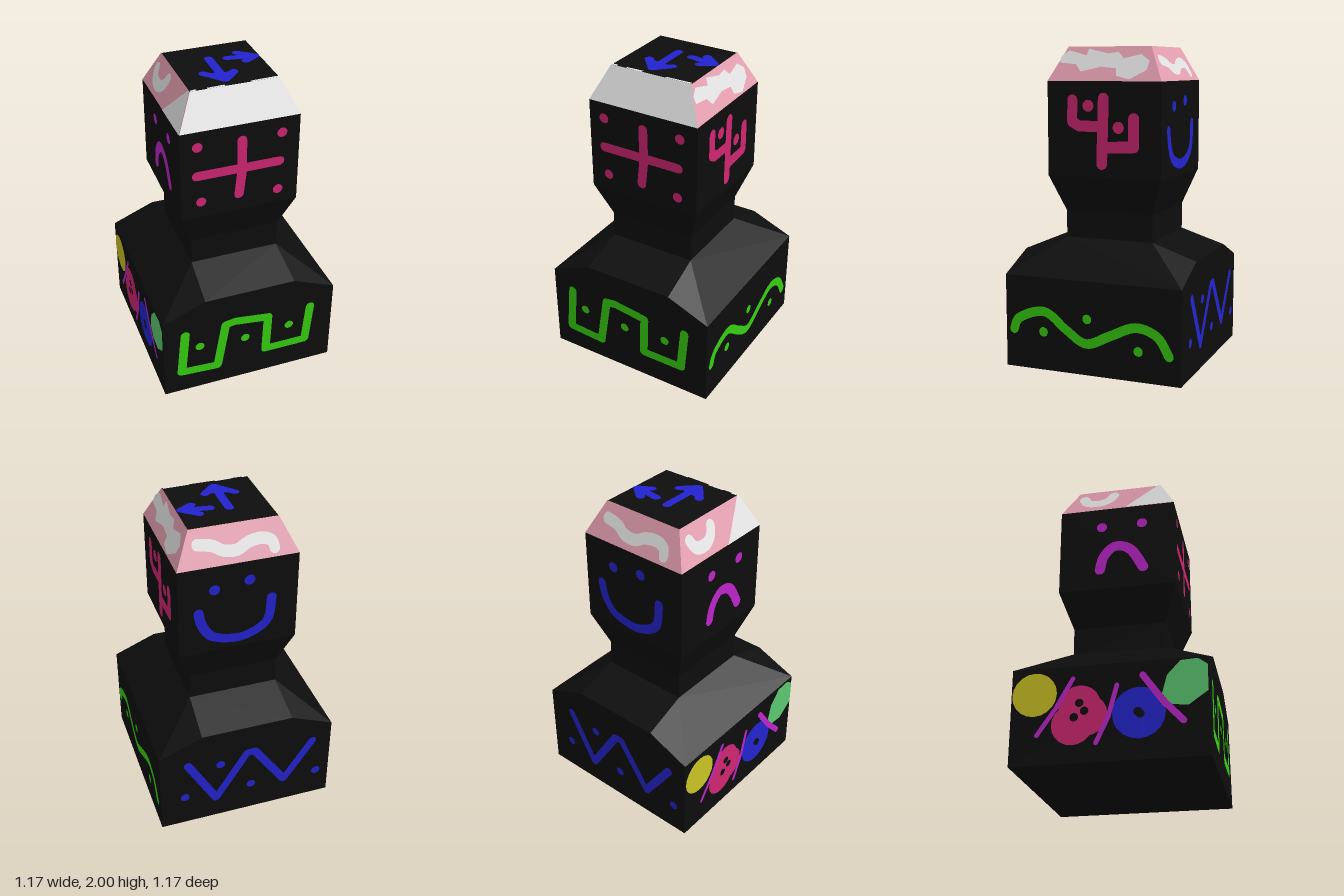
import * as THREE from 'three';
import { mergeGeometries } from 'three/addons/utils/BufferGeometryUtils.js';
import { ConvexGeometry } from 'three/addons/geometries/ConvexGeometry.js';

const mat = (name, color) => new THREE.MeshStandardMaterial({ name, color });

export function createModel() {
  const black = mat('black', 0x0d0d0d), white = mat('white', 0xe4e4e4), pink = mat('pink', 0xe6a0b2);
  const crimson = mat('crimson', 0xd02672), lime = mat('lime', 0x36d010), blue = mat('blue', 0x2323d0);
  const purple = mat('purple', 0xbf25cc), yellow = mat('yellow', 0xccc324), green = mat('leaf green', 0x5cc870);

  const model = new THREE.Group();
  model.name = 'paintedBust';

  const add = (parent, name, geometry, material, lift = 0) => {
    const mesh = new THREE.Mesh(geometry, material);
    mesh.name = name;
    mesh.position.z = lift;
    parent.add(mesh);
    return mesh;
  };

  // Paint helpers: all work in the (u, v) plane of a face
  const LIFT = 0.004;
  const stroke = (parent, name, material, width, pts, smooth = false) => {
    let path = pts.map(([u, v]) => new THREE.Vector2(u, v));
    if (smooth) path = new THREE.SplineCurve(path).getPoints(pts.length * 5);
    const pieces = [];
    path.forEach((p, i) => {
      pieces.push(new THREE.CircleGeometry(width / 2, 14).translate(p.x, p.y, 0));
      if (!i) return;
      const q = path[i - 1], d = p.clone().sub(q);
      pieces.push(new THREE.PlaneGeometry(d.length(), width).rotateZ(d.angle())
        .translate((p.x + q.x) / 2, (p.y + q.y) / 2, 0));
    });
    add(parent, name, mergeGeometries(pieces), material, LIFT);
  };
  const dots = (parent, name, material, r, pts, lift = LIFT) => {
    const discs = pts.map(([u, v]) => new THREE.CircleGeometry(r, 20).translate(u, v, 0));
    add(parent, name, mergeGeometries(discs), material, lift);
  };
  const patch = (parent, name, material, pts, lift = LIFT) => add(parent, name,
    new THREE.ShapeGeometry(new THREE.Shape(pts.map(([u, v]) => new THREE.Vector2(u, v)))), material, lift);

  // Solid forms: convex hulls of mirrored corner points
  const hull = (name, corners) => {
    const pts = [];
    for (const [x, y, z] of corners)
      for (const sx of [-1, 1]) for (const sz of [-1, 1]) pts.push(new THREE.Vector3(sx * x, y, sz * z));
    add(model, name, new ConvexGeometry(pts), black);
  };
  hull('body', [[0.58, 0, 0.58], [0.58, 0.59, 0.58], [0.3, 0.705, 0.58], [0.29, 0.8, 0.29]]);
  hull('neck', [[0.29, 0.78, 0.29], [0.29, 0.98, 0.29]]);
  hull('head', [[0.29, 0.97, 0.29], [0.375, 1.2, 0.375], [0.375, 1.79, 0.375]]);

  // One frame per side for body, head and the sloped crown (v is height)
  const sides = {};
  [['front', 0], ['left', Math.PI / 2], ['back', Math.PI], ['right', -Math.PI / 2]].forEach(([name, angle]) => {
    const side = new THREE.Group();
    side.name = name + 'Side';
    side.rotation.y = angle;
    model.add(side);
    const frame = (label, y, z) => {
      const g = new THREE.Group();
      g.name = name + label;
      g.position.set(0, y, z);
      side.add(g);
      return g;
    };
    const crown = frame('Crown', 1.79, 0.375);
    crown.rotation.x = -Math.atan2(0.1, 0.21);
    crown.scale.y = Math.hypot(0.1, 0.21) / 0.21;
    patch(crown, 'crownSlope', name === 'front' ? white : pink,
      [[-0.375, 0], [0.375, 0], [0.275, 0.21], [-0.275, 0.21]], 0);
    sides[name] = { body: frame('Body', 0, 0.58), head: frame('Head', 0, 0.375), crown };
  });
  const { front, left, back, right } = sides;

  // Front: square wave and cross
  stroke(front.body, 'squareWave', lime, 0.06, [[-0.436, 0.47], [-0.465, 0.165], [-0.22, 0.15], [-0.175, 0.42],
    [-0.165, 0.48], [-0.1, 0.49], [0.125, 0.46], [0.115, 0.19], [0.395, 0.19], [0.42, 0.465]]);
  dots(front.body, 'waveDots', lime, 0.03, [[-0.34, 0.35], [-0.03, 0.33], [0.275, 0.35]]);
  stroke(front.head, 'crossUpright', crimson, 0.062, [[0.007, 1.685], [0.01, 1.48], [-0.008, 1.315]]);
  stroke(front.head, 'crossBar', crimson, 0.062, [[-0.275, 1.495], [0.25, 1.495]]);
  dots(front.head, 'crossDots', crimson, 0.032, [[-0.27, 1.69], [0.26, 1.69], [-0.25, 1.31], [0.245, 1.295]]);

  // Left: flowing wave, branching mark and a blotch on the crown
  stroke(left.body, 'flowingWave', lime, 0.06, [[-0.525, 0.245], [-0.48, 0.325], [-0.31, 0.375], [-0.165, 0.275],
    [-0.03, 0.2], [0.125, 0.265], [0.29, 0.335], [0.43, 0.295], [0.505, 0.18]], true);
  dots(left.body, 'waveDots', lime, 0.03, [[-0.32, 0.245], [-0.025, 0.355], [0.31, 0.19]]);
  stroke(left.head, 'branchTrunk', crimson, 0.072, [[0.002, 1.685], [-0.01, 1.285]]);
  stroke(left.head, 'branchFrontArm', crimson, 0.068, [[-0.205, 1.675], [-0.207, 1.54], [-0.16, 1.515], [0, 1.515]]);
  stroke(left.head, 'branchBackArm', crimson, 0.072, [[0, 1.385], [0.2, 1.395], [0.2, 1.565]]);
  dots(left.head, 'branchDots', crimson, 0.037, [[-0.1, 1.64], [0.1, 1.51]]);
  patch(left.crown, 'crownBlotch', white, [[-0.31, 0.15], [-0.31, 0.11], [-0.2, 0.1], [-0.16, 0.055], [-0.03, 0.085],
    [0.07, 0.075], [0.08, 0.03], [0.17, 0.01], [0.27, 0.065], [0.28, 0.12], [0.22, 0.16], [0.11, 0.135],
    [0.07, 0.175], [0, 0.165], [-0.13, 0.195], [-0.14, 0.155], [-0.26, 0.185]]);

  // Back: zigzag, smile and a squiggle on the crown
  stroke(back.body, 'zigzag', blue, 0.055, [[-0.396, 0.495], [-0.21, 0.16], [0, 0.495], [0.05, 0.5],
    [0.26, 0.19], [0.45, 0.475]]);
  dots(back.body, 'zigzagDots', blue, 0.03, [[-0.42, 0.226], [-0.18, 0.445], [0.03, 0.214], [0.49, 0.2]]);
  stroke(back.head, 'smile', blue, 0.062, [[-0.25, 1.49], [-0.225, 1.39], [-0.15, 1.3], [0.025, 1.27],
    [0.18, 1.35], [0.208, 1.517]], true);
  dots(back.head, 'smileEyes', blue, 0.034, [[-0.15, 1.635], [0.067, 1.665]]);
  stroke(back.crown, 'crownSquiggle', white, 0.065, [[-0.235, 0.125], [-0.15, 0.11], [-0.08, 0.075], [0, 0.07],
    [0.07, 0.1], [0.15, 0.11], [0.21, 0.09], [0.225, 0.05]], true);

  // Right: row of painted blossoms, frown and crown marks
  dots(right.body, 'yellowDisc', yellow, 0.135, [[-0.44, 0.425]]);
  dots(right.body, 'crimsonBlossom', crimson, 0.125, [[-0.17, 0.34], [-0.21, 0.23], [-0.13, 0.28]]);
  dots(right.body, 'blueDisc', blue, 0.155, [[0.176, 0.275]]);
  dots(right.body, 'blossomCentres', black, 0.025, [[-0.14, 0.305], [-0.2, 0.27], [-0.17, 0.355], [0.17, 0.28],
    [0.185, 0.265]], 0.009);
  patch(right.body, 'greenLeaf', green, [[0.31, 0.38], [0.36, 0.31], [0.46, 0.3], [0.575, 0.38], [0.575, 0.54],
    [0.52, 0.58], [0.42, 0.575], [0.34, 0.49]]);
  const stems = new THREE.Group();
  stems.name = 'stems';
  stems.position.z = 0.003;
  right.body.add(stems);
  stroke(stems, 'stemA', purple, 0.028, [[-0.417, 0.174], [-0.31, 0.33], [-0.21, 0.51]]);
  stroke(stems, 'stemB', purple, 0.028, [[-0.07, 0.11], [0, 0.26], [0.05, 0.45]]);
  stroke(stems, 'stemC', purple, 0.04, [[0.2, 0.5], [0.32, 0.33], [0.43, 0.21]]);
  stroke(right.head, 'frown', purple, 0.068, [[-0.11, 1.335], [-0.085, 1.43], [-0.01, 1.5], [0.09, 1.465],
    [0.17, 1.33]], true);
  dots(right.head, 'frownEyes', purple, 0.034, [[-0.1, 1.65], [0.165, 1.655]]);
  stroke(right.crown, 'crownHook', white, 0.07, [[-0.235, 0.13], [-0.2, 0.08], [-0.12, 0.07], [-0.06, 0.1],
    [-0.035, 0.145]], true);
  patch(right.crown, 'crownCorner', white, [[0.055, 0], [0.375, 0], [0.275, 0.21], [0.26, 0.21]]);

  // Flat top with two arrows and a few chips of white along the front edge
  const top = new THREE.Group();
  top.name = 'top';
  top.position.y = 1.996;
  top.rotation.x = -Math.PI / 2;
  model.add(top);
  add(top, 'topFace', new THREE.PlaneGeometry(0.55, 0.55), black);
  const arrow = (name, tail, tip, barbA, barbB, width) => {
    stroke(top, name + 'Shaft', blue, width, [tail, tip]);
    stroke(top, name + 'Barbs', blue, width, [barbA, tip, barbB]);
    patch(top, name + 'Fill', blue, [barbA, tip, barbB]);
  };
  arrow('frontArrow', [-0.033, 0.095], [-0.033, -0.2], [-0.13, -0.085], [0.05, -0.115], 0.055);
  arrow('sideArrow', [0.075, 0.065], [0.245, 0.04], [0.155, 0.115], [0.17, -0.005], 0.055);
  [[-0.27, -0.235], [-0.17, -0.06], [0.1, 0.27]].forEach(([a, b]) =>
    patch(top, 'edgeChip', white, [[a, -0.274], [b, -0.274], [b, -0.258], [a, -0.262]]));

  return model;
}
